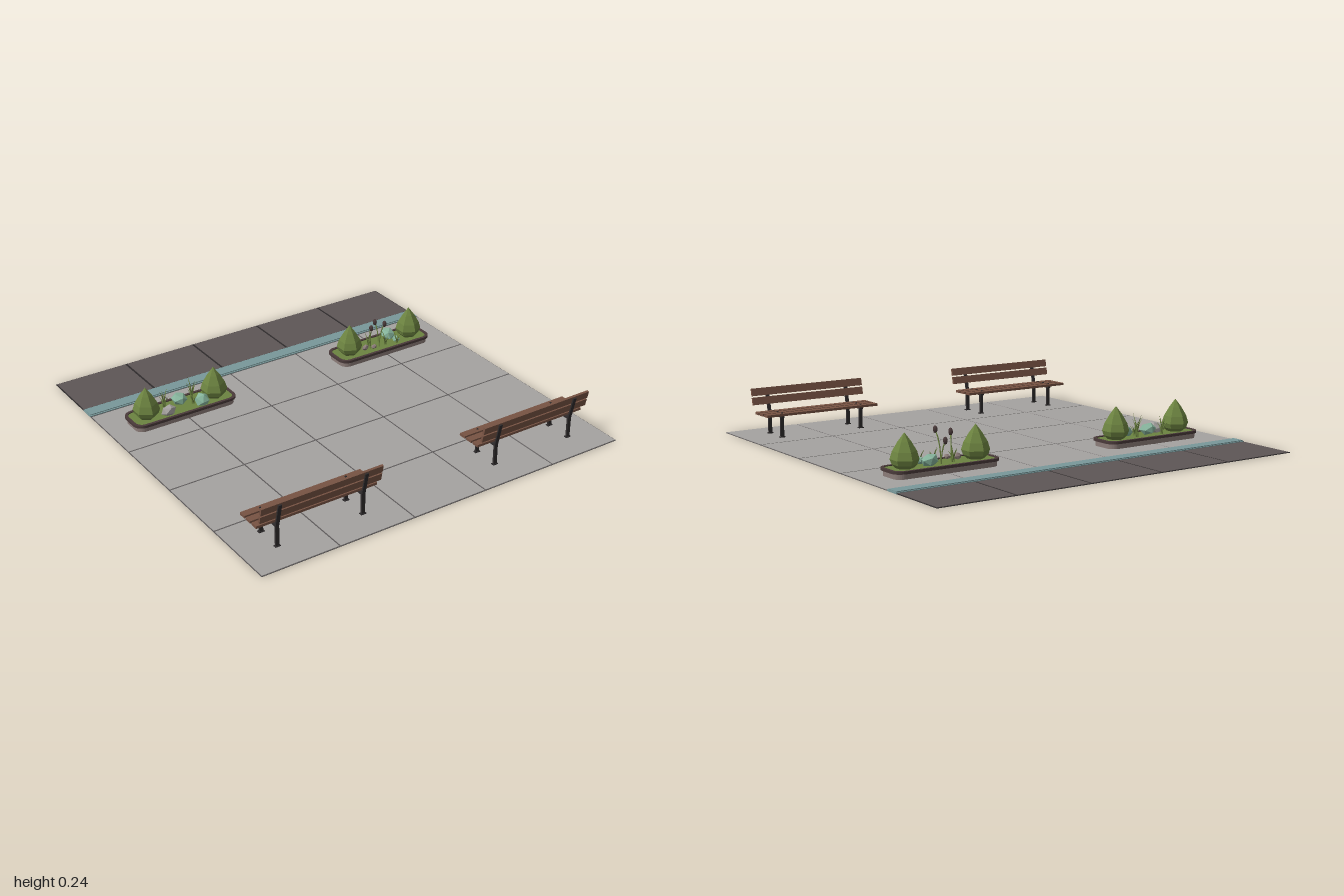
import * as THREE from 'three';

const mat = (name, color, extra = {}) => Object.assign(new THREE.MeshStandardMaterial({ color, ...extra }), { name });

export function createModel() {
  const M = {
    paving: mat('paving grey', 0xa5a2a0),
    joint: mat('joint grey', 0x5c595a),
    road: mat('asphalt', 0x5e5656),
    dark: mat('iron', 0x2e2b2c),
    curb: mat('curb teal', 0x78989a),
    stone: mat('planter stone', 0x8b7c78),
    rim: mat('rim brown', 0x4a3a3a),
    leaf: mat('leaf green', 0x6c8340, { flatShading: true, side: THREE.DoubleSide }),
    pale: mat('succulent green', 0x86b49c, { flatShading: true }),
    wood: mat('bench wood', 0x775343),
  };
  const root = new THREE.Group();
  root.name = 'plaza';

  const add = (parent, name, geo, material, x = 0, y = 0, z = 0) => {
    const m = new THREE.Mesh(geo, material);
    m.name = name;
    m.position.set(x, y, z);
    parent.add(m);
    return m;
  };
  // box given by its minimum and maximum corners
  const box = (parent, name, material, x0, x1, y0, y1, z0, z1) =>
    add(parent, name, new THREE.BoxGeometry(x1 - x0, y1 - y0, z1 - z0), material,
      (x0 + x1) / 2, (y0 + y1) / 2, (z0 + z1) / 2);

  // ground: joint beds with separate tiles, a curb and a road strip
  const ground = new THREE.Group();
  ground.name = 'ground';
  root.add(ground);
  box(ground, 'pavingJoints', M.joint, -1, 1, 0.001, 0.003, -0.605, 1);
  box(ground, 'roadJoints', M.dark, -1, 1, 0.001, 0.003, -1, -0.683);
  const g = 0.004;
  for (let i = 0; i < 5; i++) {
    const x = -1 + i * 0.4;
    for (let j = 0; j < 4; j++) {
      const z = -0.6 + j * 0.4;
      box(ground, 'pavingTile', M.paving, x + g, x + 0.4 - g, 0, 0.005, z + g, z + 0.4 - g);
    }
    box(ground, 'roadSlab', M.road, x + 0.006, x + 0.394, 0, 0.005, -0.996, -0.687);
  }
  box(ground, 'curb', M.curb, -1, 1, 0, 0.007, -0.683, -0.604);
  box(ground, 'curbTop', M.curb, -0.996, 0.996, 0.007, 0.011, -0.676, -0.612);

  // benches, with the back toward +z
  const bench = (x) => {
    const b = new THREE.Group();
    b.name = 'bench';
    b.position.x = x;
    root.add(b);
    for (const z of [0.711, 0.759, 0.807])
      box(b, 'seatSlat', M.wood, -0.316, 0.316, 0.115, 0.127, z - 0.019, z + 0.019);
    const back = new THREE.Group();
    back.name = 'backrest';
    back.position.set(0, 0.115, 0.847);
    back.rotation.x = 0.22;
    b.add(back);
    for (const y of [0.06, 0.106])
      box(back, 'backSlat', M.wood, -0.316, 0.316, y - 0.019, y + 0.019, -0.013, -0.001);
    for (const s of [-0.225, 0.225]) {
      box(b, 'frontLeg', M.dark, s - 0.009, s + 0.009, 0, 0.115, 0.709, 0.719);
      box(b, 'rearLeg', M.dark, s - 0.009, s + 0.009, 0, 0.119, 0.842, 0.852);
      box(b, 'seatRail', M.dark, s - 0.009, s + 0.009, 0.106, 0.115, 0.7, 0.852);
      box(back, 'backPost', M.dark, s - 0.009, s + 0.009, -0.004, 0.118, -0.002, 0.006);
      for (const z of [0.711, 0.759, 0.807])
        add(b, 'bolt', new THREE.CylinderGeometry(0.005, 0.005, 0.004, 6), M.dark, s, 0.128, z);
      for (const z of [0.714, 0.847])
        box(b, 'foot', M.dark, s - 0.014, s + 0.014, 0, 0.009, z - 0.009, z + 0.009);
    }
  };
  bench(-0.602);
  bench(0.6);

  // rounded outline for the planter parts
  const outline = (C, w, d, r) => {
    const s = new C();
    const x = w / 2 - r, z = d / 2 - r;
    s.absarc(x, z, r, 0, Math.PI / 2);
    s.absarc(-x, z, r, Math.PI / 2, Math.PI);
    s.absarc(-x, -z, r, Math.PI, Math.PI * 1.5);
    s.absarc(x, -z, r, Math.PI * 1.5, Math.PI * 2);
    s.closePath();
    return s;
  };
  const slab = (shape, h) =>
    new THREE.ExtrudeGeometry(shape, { depth: h, bevelEnabled: false, curveSegments: 4 }).rotateX(-Math.PI / 2);

  const shrubProfile = [[0.04, 0], [0.058, 0.018], [0.067, 0.042], [0.056, 0.078], [0.03, 0.122], [0, 0.162]]
    .map(([r, y]) => new THREE.Vector2(r, y));
  const bladeGeo = (h, lean) => {
    const p = new THREE.ConeGeometry(0.007, h, 3, 3).translate(0, h / 2, 0);
    const a = p.attributes.position;
    for (let i = 0; i < a.count; i++) a.setX(i, a.getX(i) + lean * (a.getY(i) / h) ** 2);
    return p;
  };
  // fan of bent grass blades
  const tuft = (parent, x, z, n, h) => {
    for (let i = 0; i < n; i++) {
      const m = add(parent, 'grassBlade', bladeGeo(h * (0.65 + 0.35 * ((i * 2) % 3) / 2), 0.028), M.leaf, x, 0.038, z);
      m.rotation.y = i * Math.PI * 2 / n + x * 9;
    }
  };
  const rock = (parent, name, material, x, z, r, y = 0.055) => {
    const m = add(parent, name, new THREE.IcosahedronGeometry(r, 0), material, x, y, z);
    m.scale.y = 0.75;
    m.rotation.set(x * 7, x * 11, z * 5);
  };

  const planter = (x) => {
    const p = new THREE.Group();
    p.name = 'planter';
    p.position.set(x, 0, -0.4);
    root.add(p);
    add(p, 'planterWall', slab(outline(THREE.Shape, 0.55, 0.155, 0.042), 0.028), M.stone, 0, 0.003, 0);
    const rim = outline(THREE.Shape, 0.568, 0.172, 0.05);
    rim.holes.push(outline(THREE.Path, 0.538, 0.142, 0.036));
    add(p, 'planterRim', slab(rim, 0.013), M.rim, 0, 0.03, 0);
    add(p, 'plantBed', slab(outline(THREE.Shape, 0.54, 0.144, 0.037), 0.009), M.leaf, 0, 0.03, 0);
    for (const s of [-0.19, 0.19]) {
      const geo = new THREE.LatheGeometry(shrubProfile, 6).rotateY(Math.PI / 6);
      add(p, 'shrub', geo.rotateY(Math.PI / 3), M.leaf, s, 0.038, 0).rotation.y = Math.PI / 6 * 2;
      p.children.at(-1).geometry.rotateY(Math.PI / 6 * 2 + Math.PI / 6);
    }
    return p;
  };

  // planter with rock, succulents and grass
  const a = planter(-0.604);
  rock(a, 'rock', M.paving, -0.087, 0.036, 0.04);
  rock(a, 'succulent', M.pale, 0.002, -0.018, 0.042, 0.07);
  rock(a, 'succulent', M.pale, 0.102, 0.034, 0.04);
  tuft(a, -0.075, -0.035, 6, 0.1);
  tuft(a, 0.08, -0.03, 6, 0.12);
  tuft(a, 0.06, 0.015, 4, 0.08);

  // planter with stalks, bud heads, succulent and small stones
  const b = planter(0.597);
  rock(b, 'succulent', M.pale, 0.075, -0.028, 0.042, 0.065);
  rock(b, 'succulent', M.pale, 0.09, 0.03, 0.022);
  rock(b, 'pebble', M.stone, -0.105, 0.025, 0.02);
  rock(b, 'pebble', M.stone, -0.06, 0.04, 0.016);
  tuft(b, -0.06, -0.01, 5, 0.09);
  tuft(b, 0.085, 0.045, 5, 0.07);
  tuft(b, 0.02, 0.03, 4, 0.08);
  for (const [x, z, h, dx, dz] of [[-0.07, 0.02, 0.13, -0.01, 0.02], [-0.02, 0.03, 0.145, 0.01, 0.03],
    [0.01, -0.02, 0.11, -0.01, -0.02]]) {
    const curve = new THREE.QuadraticBezierCurve3(new THREE.Vector3(x, 0.036, z),
      new THREE.Vector3(x, 0.036 + h * 0.6, z), new THREE.Vector3(x + dx, 0.036 + h, z + dz));
    add(b, 'stalk', new THREE.TubeGeometry(curve, 4, 0.003, 5), M.leaf);
    add(b, 'budHead', new THREE.SphereGeometry(0.012, 6, 5), M.rim, x + dx, 0.038 + h, z + dz).scale.y = 1.5;
  }
  return root;
}
